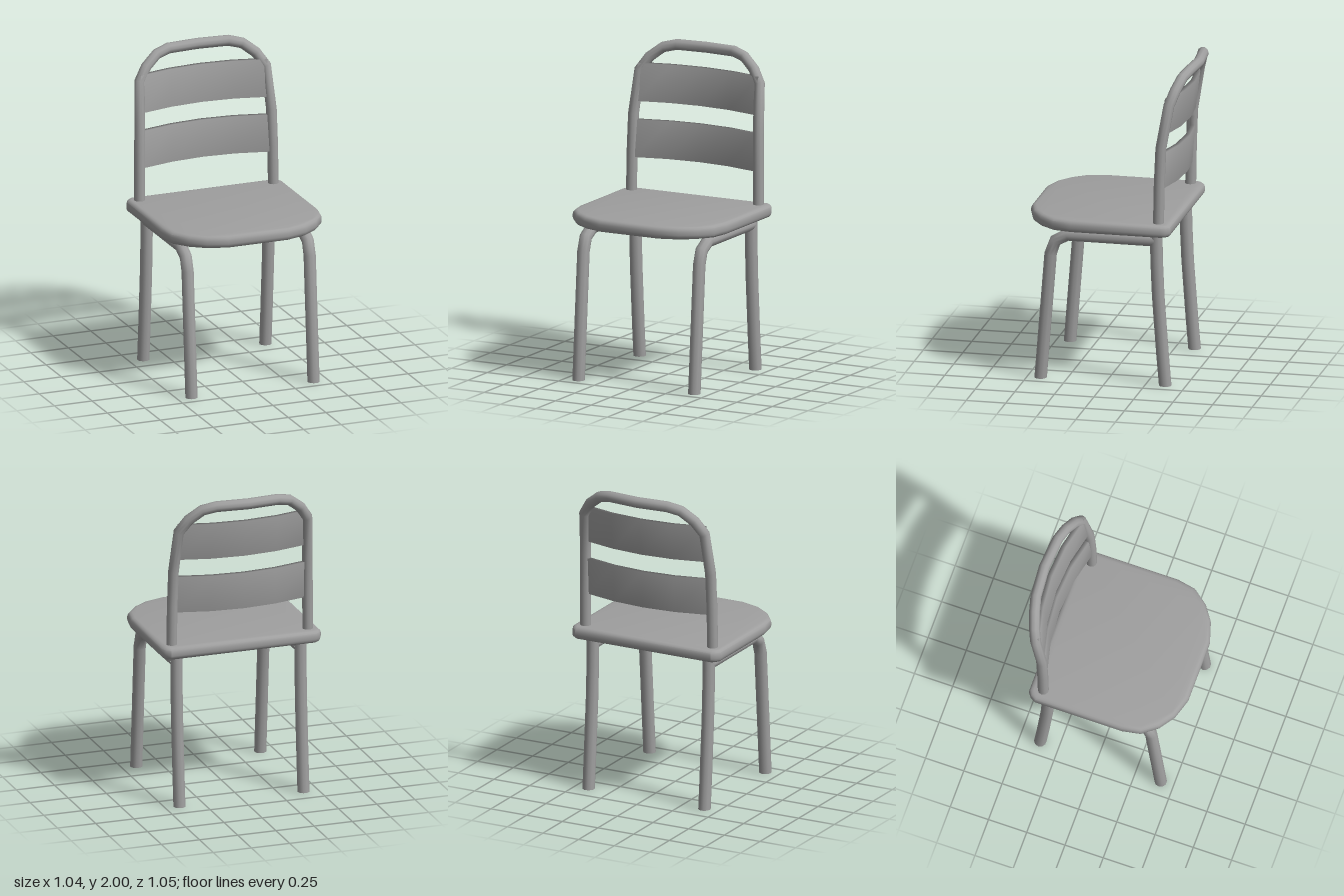
import * as THREE from 'three';
import { mergeVertices, toCreasedNormals } from 'three/addons/utils/BufferGeometryUtils.js';

// Path through a few points, with each corner mitred
class BentPath extends THREE.Curve {
  constructor(points) {
    super();
    this.points = points.map((p) => new THREE.Vector3(...p));
  }
  index(u) {
    return Math.round(u * (this.points.length - 1));
  }
  getPointAt(u, target = new THREE.Vector3()) {
    return target.copy(this.points[this.index(u)]);
  }
  getTangentAt(u, target = new THREE.Vector3()) {
    const i = this.index(u), p = this.points;
    target.set(0, 0, 0);
    if (i > 0) target.add(p[i].clone().sub(p[i - 1]).normalize());
    if (i < p.length - 1) target.add(p[i + 1].clone().sub(p[i]).normalize());
    return target.normalize();
  }
}

export function createModel() {
  const chair = new THREE.Group();
  chair.name = 'chair';
  const grey = new THREE.MeshStandardMaterial({ color: 0x9f9f9f });
  grey.name = 'grey';

  const add = (name, geometry, parent = chair) => {
    const mesh = new THREE.Mesh(geometry, grey);
    mesh.name = name;
    parent.add(mesh);
    return mesh;
  };
  const pipe = (points, radius) =>
    new THREE.TubeGeometry(new BentPath(points), points.length - 1, radius, 10);

  // Seat: flat slab with a rounded rim, square at the back and rounded in front
  const half = [[0.2, 0.522], [0.33, 0.482], [0.425, 0.415], [0.5, 0.318],
    [0.522, 0.2], [0.522, -0.365], [0.505, -0.4], [0.475, -0.422]];
  const outline = [...half, ...half.map(([x, z]) => [-x, z]).reverse()];
  const seat = new THREE.ExtrudeGeometry(
    new THREE.Shape(outline.map(([x, z]) => new THREE.Vector2(x, -z))),
    { depth: 0.02, bevelEnabled: true, bevelThickness: 0.03, bevelSize: 0.03,
      bevelOffset: -0.03, bevelSegments: 3 });
  seat.rotateX(-Math.PI / 2).translate(0, 1.002, 0);
  add('seat', toCreasedNormals(seat, 0.6));

  // Legs: the front pair bend back under the seat as side rails
  const legPaths = {
    frontLeg: [[0, 0.415], [0.8, 0.352], [0.885, 0.322], [0.928, 0.245], [0.928, -0.31]],
    backLeg: [[0, -0.372], [0.2, -0.355], [0.57, -0.328], [0.8, -0.318], [0.985, -0.315]],
  };
  for (const [name, path] of Object.entries(legPaths)) {
    for (const side of [-1, 1]) {
      const leg = new THREE.Group();
      leg.name = (side > 0 ? 'left ' : 'right ') + name;
      const x = side * 0.406;
      const tube = pipe(path.map(([y, z]) => [x, y, z]), 0.039);
      const pos = tube.attributes.position;
      for (let i = 0; i < pos.count; i++) if (pos.getY(i) < 0.02) pos.setY(i, 0); // level foot
      add('tube', tube, leg);
      add('foot', new THREE.CircleGeometry(0.039, 10).rotateX(Math.PI / 2)
        .translate(x, 0, path[0][1]), leg);
      chair.add(leg);
    }
  }

  // Back frame: one hoop leaning and bowing backwards
  const post = [[0.445, 1.03, -0.338], [0.443, 1.3, -0.343], [0.438, 1.53, -0.352],
    [0.42, 1.8, -0.398], [0.365, 1.882, -0.425], [0.285, 1.945, -0.452], [0.2, 1.966, -0.474]];
  const mirrored = post.map(([x, y, z]) => [-x, y, z]).reverse();
  add('backFrame', pipe([...post, [0, 1.966, -0.49], ...mirrored], 0.034));

  // Back slats: boxes bowed backwards and leaning, with soft edges
  const slat = (name, y, z, height, lean) => {
    let g = new THREE.BoxGeometry(0.84, height, 0.03, 4, 1, 1);
    const p = g.attributes.position;
    for (let i = 0; i < p.count; i++) {
      const bow = 0.066 * (p.getX(i) / 0.42) ** 2;
      p.setZ(i, p.getZ(i) + bow - lean * p.getY(i));
    }
    g.deleteAttribute('normal');
    g.deleteAttribute('uv');
    g = mergeVertices(g);
    g.computeVertexNormals();
    add(name, g.translate(0, y, z));
  };
  slat('lowerSlat', 1.378, -0.413, 0.235, 0.07);
  slat('upperSlat', 1.728, -0.44, 0.235, 0.12);

  return chair;
}
